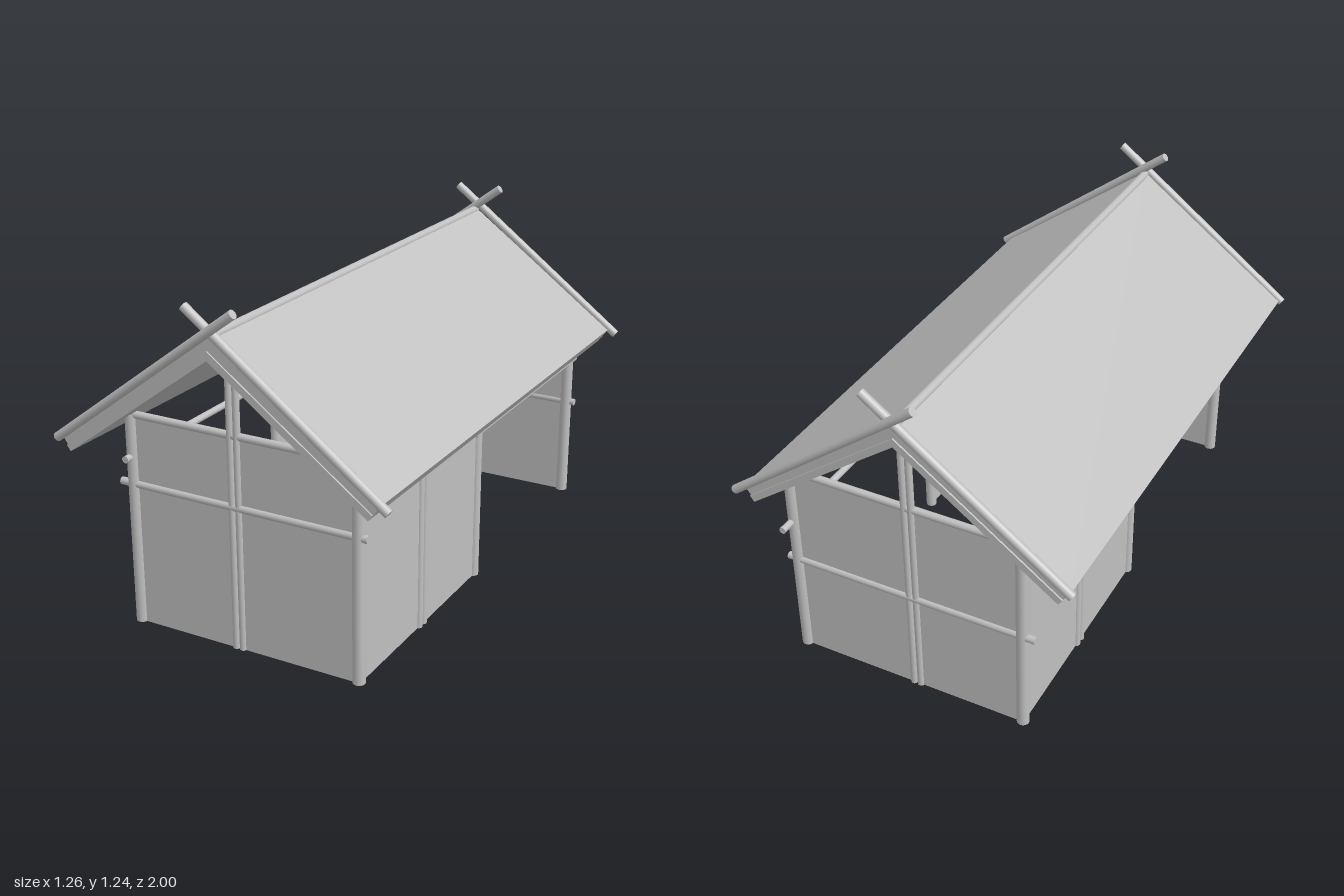
import * as THREE from 'three';

export function createModel() {
  const model = new THREE.Group();
  const grey = new THREE.MeshStandardMaterial({ color: 0xc0c0c0 });
  grey.name = 'plain grey';

  const add = (name, geometry) => {
    const mesh = new THREE.Mesh(geometry, grey);
    mesh.name = name;
    model.add(mesh);
    return mesh;
  };
  const UP = new THREE.Vector3(0, 1, 0);

  // Round pole between two points
  function pole(name, from, to, radius) {
    const a = new THREE.Vector3(...from), b = new THREE.Vector3(...to);
    const dir = b.clone().sub(a);
    const mesh = add(name, new THREE.CylinderGeometry(radius, radius, dir.length(), 16));
    mesh.position.copy(a).add(b).multiplyScalar(0.5);
    mesh.quaternion.setFromUnitVectors(UP, dir.normalize());
  }
  // Thin upright wall panel
  function panel(name, x0, x1, z0, z1, height) {
    const t = 0.01;
    const mesh = add(name, new THREE.BoxGeometry(Math.abs(x1 - x0) || t, height, Math.abs(z1 - z0) || t));
    mesh.position.set((x0 + x1) / 2, height / 2, (z0 + z1) / 2);
  }

  const xl = 0.45, xr = -0.415, zf = 0.85, zb = -0.905;
  const postR = 0.022, railR = 0.0135;

  // End walls with corner posts, twin king poles and rails
  for (const [side, z, out, railY] of [['front', zf, 1, 0.52], ['back', zb, -1, 0.392]]) {
    panel(side + 'Wall', xr, xl, z, z, 0.77);
    pole(side + 'LeftPost', [xl - 0.001, 0, z], [xl - 0.001, 0.75, z], postR);
    pole(side + 'RightPost', [xr, 0, z], [xr, 0.77, z], postR);
    for (const x of [-0.02, 0.006])
      pole(side + 'KingPole', [x, 0, z + out * 0.003], [x, 1.075, z + out * 0.003], 0.0125);
    pole(side + 'TopRail', [xr, 0.77, z], [xl - 0.02, 0.77, z], railR);
    pole(side + 'MiddleRail', [-0.465, railY, z + out * 0.003], [0.485, railY, z + out * 0.003], railR);
  }

  // Half-length side walls, at opposite ends, with the other half open
  const sides = [
    { name: 'left', x: xl, zEnd: zf, zMid: -0.019, top: 0.745, twin: [0.432, 0.4], rail: [0.56, 0, -0.975] },
    { name: 'right', x: xr, zEnd: zb, zMid: -0.037, top: 0.77, twin: [-0.488, -0.456], rail: [0.62, -0.055, 0.895] },
  ];
  for (const s of sides) {
    panel(s.name + 'Wall', s.x, s.x, s.zEnd, s.zMid, s.top);
    pole(s.name + 'MiddlePost', [s.x, 0, s.zMid], [s.x, s.top, s.zMid], 0.02);
    const out = Math.sign(s.x) * 0.003;
    for (const z of s.twin) pole(s.name + 'WallPole', [s.x + out, 0, z], [s.x + out, s.top, z], railR);
    const [y, z0, z1] = s.rail;
    pole(s.name + 'OpeningRail', [s.x, y, z0], [s.x, y, z1], 0.0125);
  }

  // Two roof layers, each a bent slab extruded along the ridge
  const apexX = -0.012, run = 0.562, drop = 0.41;
  const len = Math.hypot(run, drop), nx = drop / len, ny = run / len;
  function roofLayer(name, low, high, halfLength) {
    const eave = (s, d) => [apexX + s * (run + nx * d), 1.06 - drop + ny * d];
    const ridge = d => [apexX, 1.06 + d / ny];
    const pts = [eave(-1, low), ridge(low), eave(1, low), eave(1, high), ridge(high), eave(-1, high)];
    const shape = new THREE.Shape(pts.map(p => new THREE.Vector2(...p)));
    const geo = new THREE.ExtrudeGeometry(shape, { depth: halfLength * 2, bevelEnabled: false });
    geo.translate(0, 0, -halfLength);
    add(name, geo);
  }
  roofLayer('roofLining', 0, 0.025, 0.978);
  roofLayer('roofCovering', 0.025, 0.065, 0.972);

  // Ridge pole
  pole('ridgePole', [apexX, 1.131, 0.97], [apexX, 1.131, -0.97], 0.016);

  // Crossed gable poles
  for (const [side, zRight, zLeft] of [['front', 0.984, 0.97], ['back', -0.972, -0.984]]) {
    pole(side + 'GablePole', [-0.62, 0.695, zRight], [0.095, 1.227, zRight], 0.016);
    pole(side + 'GablePole', [0.617, 0.685, zLeft], [-0.095, 1.222, zLeft], 0.016);
  }
  return model;
}
